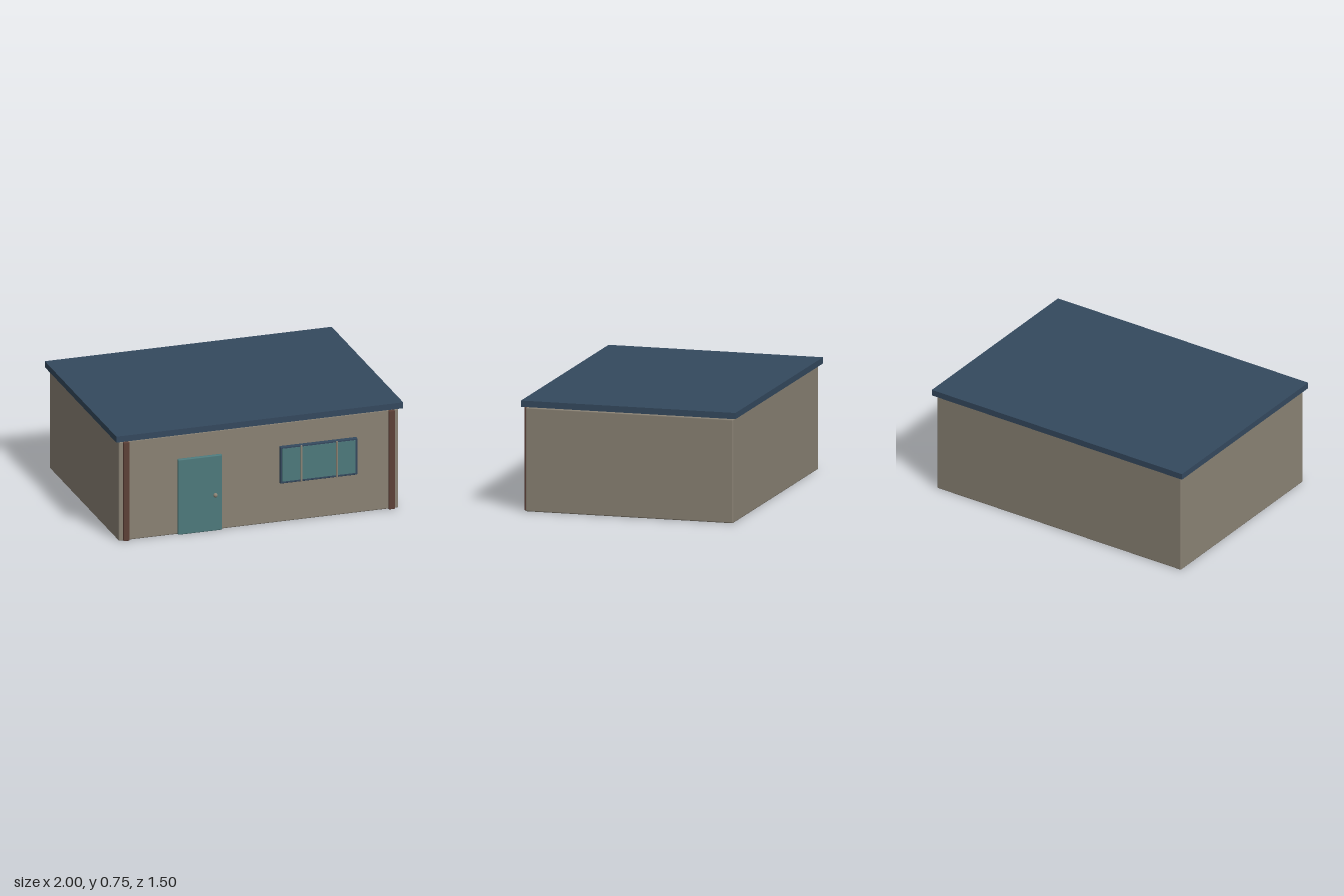
import * as THREE from 'three';
import { RoundedBoxGeometry } from 'three/addons/geometries/RoundedBoxGeometry.js';

const mat = (name, color) => Object.assign(new THREE.MeshStandardMaterial({ color }), { name });

export function createModel() {
  const house = new THREE.Group();
  house.name = 'house';
  const wall = mat('wall taupe', 0x8a8274);
  const slate = mat('slate blue', 0x34495e);
  const teal = mat('teal', 0x4e7a7c);
  const wood = mat('dark wood', 0x5d4037);

  // Box given by its extents on each axis, with optionally rounded edges
  function block(name, material, [x0, x1], [y0, y1], [z0, z1], radius = 0) {
    const size = [x1 - x0, y1 - y0, z1 - z0];
    const geometry = radius
      ? new RoundedBoxGeometry(...size, 2, radius)
      : new THREE.BoxGeometry(...size);
    const mesh = new THREE.Mesh(geometry, material);
    mesh.name = name;
    mesh.position.set((x0 + x1) / 2, (y0 + y1) / 2, (z0 + z1) / 2);
    house.add(mesh);
    return mesh;
  }

  // Main volume and the flat roof slab floating just above it
  block('walls', wall, [-0.975, 0.975], [0, 0.7], [-0.724, 0.708], 0.008);
  block('roof', slate, [-1, 1], [0.708, 0.75], [-0.748, 0.732]);

  // Corner posts on the front
  for (const side of [-1, 1]) {
    const x = side * 0.925;
    block(side > 0 ? 'leftPost' : 'rightPost', wood,
      [x - 0.021, x + 0.021], [0, 0.697], [0.685, 0.725], 0.005);
  }

  // Door with round knob
  block('door', teal, [-0.567, -0.26], [0, 0.532], [0.69, 0.728], 0.007);
  const knob = new THREE.Mesh(new THREE.SphereGeometry(0.015, 24, 16), wall);
  knob.name = 'doorKnob';
  knob.position.set(-0.308, 0.252, 0.73);
  house.add(knob);

  // Window: frame, pane and two upright bars
  block('windowFrame', slate, [0.144, 0.681], [0.278, 0.536], [0.7, 0.733], 0.004);
  block('windowPane', teal, [0.156, 0.665], [0.293, 0.524], [0.728, 0.736]);
  for (const x of [0.287, 0.535]) {
    block('windowBar', wall, [x - 0.006, x + 0.006], [0.28, 0.535], [0.735, 0.747], 0.002);
  }

  return house;
}
